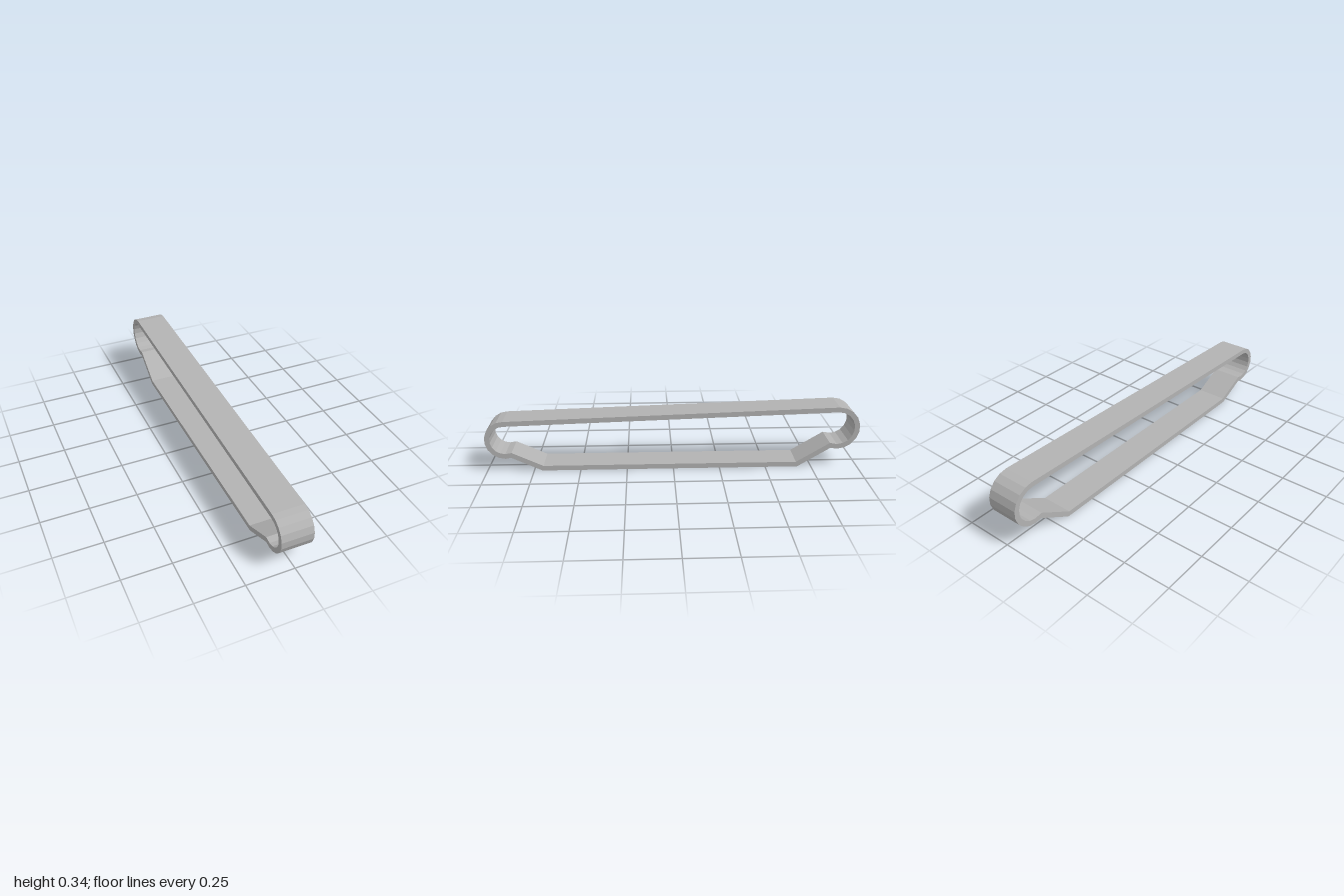
import * as THREE from 'three';

const WIDTH = 0.166;
const THICKNESS = 0.027;

// Points on a faceted end roller, angles in degrees, 20 degrees per facet
function arc(z, y, radius, from, to) {
  const points = [];
  const steps = Math.round(Math.abs(to - from) / 20);
  for (let i = 0; i <= steps; i++) {
    const a = THREE.MathUtils.degToRad(from + ((to - from) * i) / steps);
    points.push(new THREE.Vector2(z + radius * Math.cos(a), y + radius * Math.sin(a)));
  }
  return points;
}

// Shift a closed counter-clockwise loop outwards with mitred corners
function offsetLoop(points, distance) {
  const n = points.length;
  const normal = (a, b) => new THREE.Vector2(b.y - a.y, a.x - b.x).normalize();
  return points.map((p, i) => {
    const n1 = normal(points[(i + n - 1) % n], p);
    const n2 = normal(p, points[(i + 1) % n]);
    const mitre = n1.clone().add(n2).multiplyScalar(distance / (1 + n1.dot(n2)));
    return p.clone().add(mitre);
  });
}

export function createModel() {
  const group = new THREE.Group();
  group.name = 'trackBand';
  const material = new THREE.MeshStandardMaterial({ color: 0xb2b2b2 });
  material.name = 'trackGrey';

  // Centre line of the band in (z, y)
  const half = THICKNESS / 2;
  const centreLine = [
    new THREE.Vector2(-0.672, half),
    new THREE.Vector2(0.702, half),
    ...arc(0.897, 0.177, 0.0915, -110, 90),
    ...arc(-0.884, 0.219, 0.1045, 90, 290),
  ];

  // Closed loop of even thickness, extruded across the width
  const shape = new THREE.Shape(offsetLoop(centreLine, half));
  shape.holes.push(new THREE.Path(offsetLoop(centreLine, -half)));
  const geometry = new THREE.ExtrudeGeometry(shape, { depth: WIDTH, bevelEnabled: false });
  geometry.translate(0, 0, -WIDTH / 2);
  geometry.rotateY(-Math.PI / 2);

  const band = new THREE.Mesh(geometry, material);
  band.name = 'band';
  group.add(band);
  return group;
}
